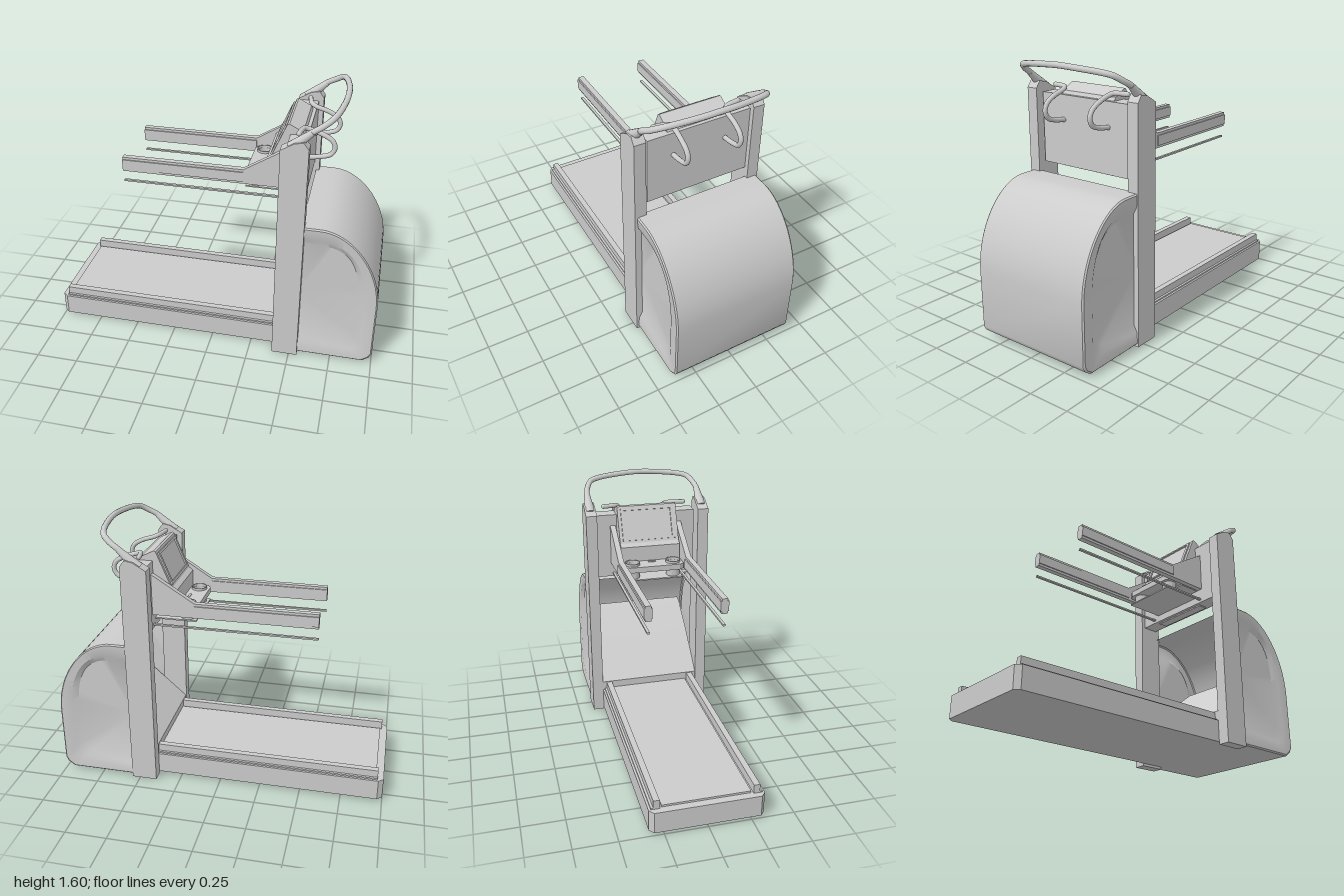
import * as THREE from 'three';
import { toCreasedNormals } from 'three/addons/utils/BufferGeometryUtils.js';

const grey = new THREE.MeshStandardMaterial({ color: 0xcccccc });
const greyThin = new THREE.MeshStandardMaterial({ color: 0xcccccc, side: THREE.DoubleSide });
const CZ = -0.012; // the console sits slightly off centre

export function createModel() {
  const root = new THREE.Group();
  root.name = 'treadmill';

  const add = (name, geo, parent = root, mat = grey) => {
    const m = new THREE.Mesh(geo, mat);
    m.name = name;
    parent.add(m);
    return m;
  };
  // box given by its limits
  const box = (name, x0, x1, y0, y1, z0, z1, parent) => {
    const m = add(name, new THREE.BoxGeometry(x1 - x0, y1 - y0, z1 - z0), parent);
    m.position.set((x0 + x1) / 2, (y0 + y1) / 2, (z0 + z1) / 2);
    return m;
  };
  // side profile (x, y) pulled from z0 to z1
  const profile = (name, pts, z0, z1, parent) => {
    const shape = new THREE.Shape(pts.map(p => new THREE.Vector2(...p)));
    const geo = new THREE.ExtrudeGeometry(shape, { depth: z1 - z0, bevelEnabled: false });
    return add(name, geo.translate(0, 0, z0), parent);
  };
  // smooth tube with closed ends
  const tube = (name, pts, r, parent) => {
    const v = pts.map(p => new THREE.Vector3(...p));
    const curve = new THREE.CatmullRomCurve3(v, false, 'centripetal');
    add(name, new THREE.TubeGeometry(curve, 64, r, 12), parent);
    for (const p of [v[0], v[v.length - 1]]) {
      add(name + 'End', new THREE.SphereGeometry(r, 12, 8), parent).position.copy(p);
    }
  };

  // running deck, with the rear corners cut off (plan shape laid flat)
  const plan = new THREE.Shape([[-0.97, -0.33], [0.58, -0.33], [0.58, 0.33], [-0.97, 0.33], [-1, 0.305], [-1, -0.305]]
    .map(p => new THREE.Vector2(...p)));
  add('deck', new THREE.ExtrudeGeometry(plan, { depth: 0.13, bevelEnabled: false })
    .rotateX(-Math.PI / 2).translate(0, 0.016, 0));
  box('runningBelt', -0.955, 0.42, 0.14, 0.158, -0.255, 0.255);
  for (const s of [-1, 1]) {
    box('sideRail', -0.965, 0.42, 0.14, 0.2, s * 0.285 - 0.018, s * 0.285 + 0.018);
    box('sideRailStep', -0.965, 0.42, 0.14, 0.155, s * 0.307 - 0.01, s * 0.307 + 0.01);
  }

  // sloping motor cover reaching into the hood
  profile('motorCover', [[0.4, 0.03], [0.9, 0.03], [0.9, 0.58], [0.84, 0.57], [0.65, 0.43], [0.4, 0.205]], -0.33, 0.33);

  // hood: one open shell with recessed side panels
  add('hood', hoodGeometry(), root, greyThin);

  // posts with sloping collars for the handlebar
  for (const s of [-1, 1]) {
    const post = new THREE.Group();
    post.name = 'post';
    root.add(post);
    const a = s > 0 ? 0.33 : -0.4;
    profile('postColumn', [[0.395, 0], [0.55, 0], [0.55, 1.4], [0.52, 1.44], [0.47, 1.43], [0.395, 1.385]], a, a + 0.07, post);
    const collar = add('handlebarCollar', new THREE.CylinderGeometry(0.018, 0.034, 0.15, 16), post);
    collar.position.set(0.505, 1.44, s * 0.364);
    collar.rotation.z = -0.85;
  }

  // handlebar arching over the front of the machine
  const half = [[0.5, 1.435, 0.364], [0.56, 1.49, 0.363], [0.61, 1.52, 0.35], [0.655, 1.55, 0.32],
    [0.68, 1.563, 0.26], [0.705, 1.575, 0.12]];
  tube('handlebar', [...half, [0.712, 1.58, 0], ...half.slice().reverse().map(([x, y, z]) => [x, y, -z])], 0.017);

  // console, built around its own middle plane
  const console_ = new THREE.Group();
  console_.name = 'console';
  console_.position.z = CZ;
  root.add(console_);
  box('backPanel', 0.42, 0.52, 0.97, 1.38, -0.32, 0.32, console_);
  box('backPanelFoot', 0.44, 0.5, 0.962, 0.972, -0.19, 0.19, console_);
  profile('displayHousing', [[0.285, 1.06], [0.45, 1.06], [0.5, 1.38], [0.49, 1.4], [0.412, 1.44], [0.4, 1.435], [0.31, 1.22], [0.285, 1.2]],
    -0.19, 0.19, console_);
  const screen = new THREE.Group();
  screen.name = 'screen';
  screen.position.set(0.355, 1.328, 0);
  screen.rotation.z = -0.396;
  console_.add(screen);
  for (const s of [-1, 1]) {
    box('screenFrame', -0.009, 0.005, -0.1, 0.1, s * 0.16 - 0.01, s * 0.16 + 0.01, screen);
    box('screenFrame', -0.009, 0.005, s * 0.095 - 0.007, s * 0.095 + 0.007, -0.17, 0.17, screen);
  }

  // tray with two cup holders
  const tray = new THREE.Shape([[0.165, -0.16], [0.185, -0.19], [0.3, -0.19], [0.3, 0.19], [0.185, 0.19], [0.165, 0.16]]
    .map(p => new THREE.Vector2(...p)));
  for (const s of [-1, 1]) {
    const hole = new THREE.Path();
    hole.absarc(0.228, s * 0.13, 0.04, 0, Math.PI * 2, true);
    tray.holes.push(hole);
  }
  add('tray', new THREE.ExtrudeGeometry(tray, { depth: 0.035, bevelEnabled: false, curveSegments: 24 })
    .rotateX(-Math.PI / 2).translate(0, 1.07, 0), console_);
  box('trayButton', 0.248, 0.262, 1.1, 1.11, -0.025, 0.025, console_);
  box('lowerPlate', 0.17, 0.42, 1.014, 1.022, -0.18, 0.18, console_);
  const cup = [[0, 1.022], [0.043, 1.022], [0.047, 1.12], [0.042, 1.12], [0.038, 1.035], [0, 1.035]]
    .map(p => new THREE.Vector2(...p));
  for (const s of [-1, 1]) {
    const g = toCreasedNormals(new THREE.LatheGeometry(cup, 28), 0.6);
    add('cupHolder', g, console_, greyThin).position.set(0.228, 0, s * 0.13);
  }

  for (const s of [-1, 1]) {
    // hand rail arm with its gusset, and the thin rod below it
    const zc = s * 0.215;
    profile('armRail', [[-0.56, 1.06], [0.43, 1.06], [0.43, 1.315], [0.395, 1.295], [0.165, 1.15], [-0.56, 1.15]],
      zc - 0.017, zc + 0.017, console_);
    box('armGrip', -0.56, 0.165, 1.075, 1.135, zc - 0.024, zc + 0.024, console_);
    box('lowerRod', -0.56, 0.42, 0.986, 0.996, zc - 0.008, zc + 0.008, console_);
    // looped hook on the outer face
    tube('hook', [[0.5, 1.235, 0.162], [0.6, 1.25, 0.162], [0.65, 1.27, 0.162], [0.668, 1.31, 0.162], [0.652, 1.35, 0.162],
      [0.6, 1.383, 0.162], [0.52, 1.41, 0.162], [0.495, 1.42, 0.175], [0.485, 1.422, 0.2], [0.475, 1.422, 0.262]]
      .map(([x, y, z]) => [x, y, s * z]), 0.014, console_);
  }
  return root;
}

// side outline of the hood, drawn inwards by d
function hoodOutline(d) {
  const p = new THREE.Path();
  p.moveTo(0.53, 0.91 - d);
  p.lineTo(0.64, 0.91 - d);
  p.bezierCurveTo(0.82, 0.91 - d, 1 - d, 0.68, 1 - d, 0.42);
  p.lineTo(1 - d, 0.075 + d);
  p.lineTo(0.985 - d, 0.045 + d);
  p.lineTo(0.945 - d, 0.016 + d);
  p.lineTo(0.53, 0.016 + d);
  return p.getPoints(20);
}

// skin across the outlines, from one recessed panel over the top to the other
function hoodGeometry() {
  const side = [[null, 0.365], [0.115, 0.365], [0.075, 0.386], [0.008, 0.39], [0, 0.382]];
  const rings = [...side, ...side.slice().reverse().map(([d, z]) => [d, -z])];
  const n = hoodOutline(0).length;
  const pos = [], idx = [];
  for (const [d, z] of rings) {
    const pts = d === null ? Array(n).fill(new THREE.Vector2(0.53, 0.45)) : hoodOutline(d);
    for (const p of pts) pos.push(p.x, p.y, z - 0.004);
  }
  for (let r = 0; r < rings.length - 1; r++) {
    for (let i = 0; i < n - 1; i++) {
      const a = r * n + i, b = a + n;
      if (r > 0) idx.push(a, a + 1, b);
      if (r < rings.length - 2) idx.push(a + 1, b + 1, b);
      if (r === 0) idx.push(a, b + 1, b);
      if (r === rings.length - 2) idx.push();
    }
  }
  const g = new THREE.BufferGeometry();
  g.setAttribute('position', new THREE.Float32BufferAttribute(pos, 3));
  g.setIndex(idx);
  g.computeVertexNormals();
  return toCreasedNormals(g, 0.5);
}
